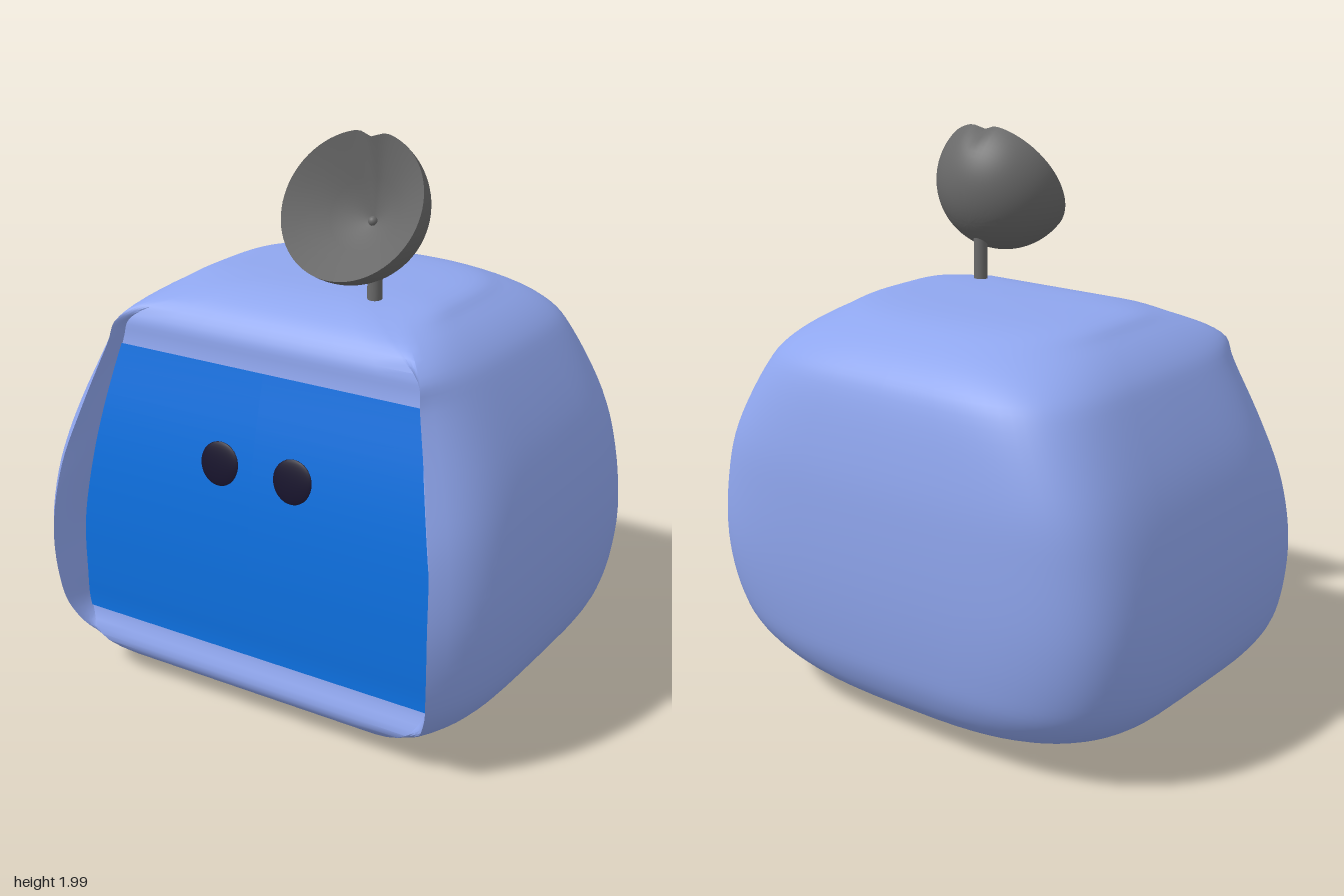
import * as THREE from 'three';
import { toCreasedNormals } from 'three/addons/utils/BufferGeometryUtils.js';

const mat = (color, side = THREE.FrontSide) => new THREE.MeshStandardMaterial({ color, side });

function add(parent, name, geometry, material) {
  const mesh = new THREE.Mesh(geometry, material);
  mesh.name = name;
  parent.add(mesh);
  return mesh;
}

// Horizontal sections, bottom to top:
// [y, half width, back depth, corner squareness, rim x, rim z, screen edge x, screen edge z]
const ROWS = [
  [0.008, 0, 0, 2.5, 0, 0, 0, 0],
  [0.012, 0.30, 0.28, 2.6, 0.22, 0.25, 0.15, 0.30],
  [0.05, 0.52, 0.43, 2.8, 0.42, 0.44, 0.32, 0.50],
  [0.13, 0.72, 0.57, 3.2, 0.64, 0.58, 0.60, 0.61],
  [0.24, 0.83, 0.64, 4.0, 0.72, 0.655, 0.69, 0.585],
  [0.38, 0.88, 0.67, 4.6, 0.745, 0.69, 0.70, 0.585],
  [0.58, 0.895, 0.69, 5.0, 0.75, 0.698, 0.70, 0.58],
  [0.80, 0.87, 0.695, 5.0, 0.73, 0.66, 0.67, 0.56],
  [1.00, 0.81, 0.685, 5.0, 0.68, 0.60, 0.635, 0.525],
  [1.22, 0.70, 0.645, 4.5, 0.615, 0.525, 0.59, 0.47],
  [1.32, 0.63, 0.59, 4.0, 0.585, 0.485, 0.55, 0.455],
  [1.40, 0.52, 0.47, 3.2, 0.46, 0.35, 0.38, 0.38],
  [1.445, 0.40, 0.31, 2.8, 0.30, 0.20, 0.22, 0.24],
  [1.455, 0, 0, 2.5, 0, 0, 0, 0],
];
const LAST = ROWS.length - 1;
const splines = [0, 2, 4, 6].map(
  (k) => new THREE.SplineCurve(ROWS.map((r) => new THREE.Vector2(r[k], r[k + 1])))
);
const section = (row) =>
  splines.flatMap((s) => s.getPoint(row / LAST).toArray()).map((v) => Math.max(v, 0));

// Skin a stack of equal-length point loops
function skin(loops) {
  const n = loops[0].length;
  const index = [];
  for (let i = 0; i < loops.length - 1; i++) {
    for (let j = 0; j < n - 1; j++) {
      const a = i * n + j, b = a + 1, c = a + n, d = c + 1;
      index.push(a, c, b, b, c, d);
    }
  }
  const g = new THREE.BufferGeometry();
  g.setAttribute('position', new THREE.Float32BufferAttribute(loops.flat(2), 3));
  g.setIndex(index);
  return g;
}

// Closed body section: back corner, side, rim, inward bevel, flat front
function bodyLoop(row) {
  const [y, w, back, n, tx, tz, sx, sz] = section(row);
  const half = [];
  for (let i = 0; i <= 18; i++) {
    const a = (i / 18) * Math.PI / 2;
    half.push([w * Math.sin(a) ** (2 / n), y, -back * Math.max(Math.cos(a), 0) ** (2 / n)]);
  }
  for (let i = 1; i <= 14; i++) {
    const t = i / 14;
    half.push([w - (w - tx) * t ** 5, y, tz * t]);
  }
  for (let i = 1; i <= 3; i++) {
    const t = i / 3;
    half.push([tx + (sx - tx) * t, y, tz + (sz - tz) * t]);
  }
  for (let i = 1; i <= 4; i++) half.push([sx * (1 - i / 4), y, sz]);
  const mirrored = half.slice(0, -1).reverse().map(([x, py, z]) => [-x, py, z]);
  return [...half, ...mirrored];
}

export function createModel() {
  const model = new THREE.Group();
  const grey = mat(0x696969);

  // Body shell with side rims framing the screen
  const loops = [];
  for (let i = 0; i <= LAST * 5; i++) loops.push(bodyLoop(i / 5));
  add(model, 'body', toCreasedNormals(skin(loops), 0.7), mat(0x8fa6ee));

  // Bowed screen
  const strips = [];
  for (let i = 0; i <= 25; i++) {
    const s = section(4 + i / 5);
    strips.push([1, 0, -1].map((k) => [k * s[6], s[0], s[7] + 0.005]));
  }
  const screen = skin(strips);
  screen.computeVertexNormals();
  add(model, 'screen', screen, mat(0x0d70e0, THREE.DoubleSide));

  // Eyes, flattened against the screen
  const eyeMaterial = mat(0x17132c);
  for (const [name, x] of [['rightEye', -0.13], ['leftEye', 0.16]]) {
    const eye = add(model, name, new THREE.SphereGeometry(0.077, 32, 16), eyeMaterial);
    eye.scale.z = 0.15;
    eye.position.set(x, 0.9, 0.547);
    eye.rotation.x = -0.15;
  }

  // Antenna pole
  const pole = add(model, 'antennaPole', new THREE.CylinderGeometry(0.025, 0.025, 0.2, 24), grey);
  pole.position.set(0.255, 1.53, 0.2);

  // Dish: hemispherical back, shallow conical face, small notch at the top of the rim
  const dish = new THREE.Group();
  dish.name = 'antennaDish';
  dish.position.set(0.25, 1.785, 0.34);
  dish.rotation.x = 1.03;
  model.add(dish);
  const profile = [];
  for (let i = 0; i <= 20; i++) {
    const a = (i / 20) * Math.PI / 2;
    profile.push(new THREE.Vector2(0.25 * Math.sin(a), -0.25 * Math.cos(a)));
  }
  profile.push(new THREE.Vector2(0.125, -0.09), new THREE.Vector2(0, -0.165));
  const bowl = new THREE.LatheGeometry(profile, 72);
  const p = bowl.attributes.position;
  for (let i = 0; i < p.count; i++) {
    const off = Math.atan2(p.getX(i), -p.getZ(i)) / 0.13;
    const rim = Math.max(0, 1 + p.getY(i) / 0.12);
    const k = 1 - 0.09 * rim * Math.exp(-off * off);
    p.setXYZ(i, p.getX(i) * k, p.getY(i), p.getZ(i) * k);
  }
  add(dish, 'dishBowl', toCreasedNormals(bowl, 0.6), grey);
  const tip = add(dish, 'dishReceiver', new THREE.SphereGeometry(0.016, 16, 12), grey);
  tip.position.y = -0.155;

  return model;
}
